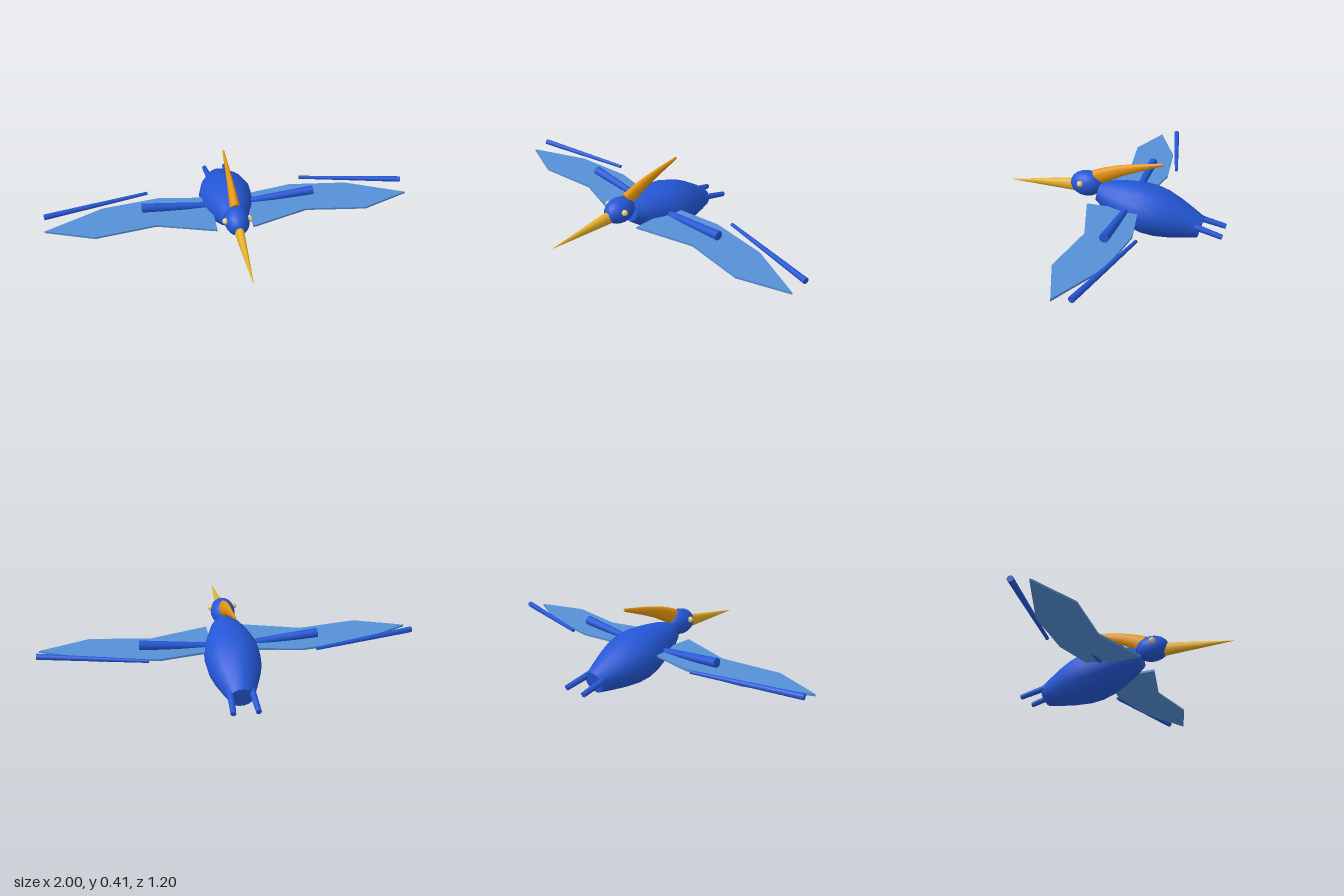
import * as THREE from 'three';
import { toCreasedNormals } from 'three/addons/utils/BufferGeometryUtils.js';

const paint = (name, color) => {
  const m = new THREE.MeshStandardMaterial({ color });
  m.name = name;
  return m;
};

// Closed skin through elliptical sections [z, y, halfWidth, halfHeight], front to back
function loft(sections, sides = 14) {
  const pos = [], index = [], n = sections.length;
  sections.forEach(([z, y, rx, ry], i) => {
    const a = sections[Math.max(i - 1, 0)], b = sections[Math.min(i + 1, n - 1)];
    const len = Math.hypot(b[0] - a[0], b[1] - a[1]);
    const tz = (b[0] - a[0]) / len, ty = (b[1] - a[1]) / len;
    for (let j = 0; j < sides; j++) {
      const t = (j / sides) * Math.PI * 2, s = ry * Math.sin(t);
      pos.push(rx * Math.cos(t), y - tz * s, z + ty * s);
    }
  });
  for (let i = 0; i < n - 1; i++) {
    for (let j = 0; j < sides; j++) {
      const k = (j + 1) % sides, p = i * sides, q = p + sides;
      index.push(p + j, q + j, p + k, p + k, q + j, q + k);
    }
  }
  const front = n * sides, back = front + 1, last = (n - 1) * sides;
  pos.push(0, sections[0][1], sections[0][0], 0, sections[n - 1][1], sections[n - 1][0]);
  for (let j = 0; j < sides; j++) {
    const k = (j + 1) % sides;
    index.push(front, j, k, back, last + k, last + j);
  }
  const geo = new THREE.BufferGeometry();
  geo.setAttribute('position', new THREE.Float32BufferAttribute(pos, 3));
  geo.setIndex(index);
  return toCreasedNormals(geo, 0.95);
}

// Tapered rod between two points
function rod(from, to, r0, r1) {
  const a = new THREE.Vector3(...from), b = new THREE.Vector3(...to);
  const dir = b.clone().sub(a);
  const geo = new THREE.CylinderGeometry(r1, r0, dir.length(), 12);
  geo.applyQuaternion(new THREE.Quaternion().setFromUnitVectors(new THREE.Vector3(0, 1, 0), dir.normalize()));
  const mid = a.add(b).multiplyScalar(0.5);
  return geo.translate(mid.x, mid.y, mid.z);
}

export function createModel() {
  const model = new THREE.Group();
  const blue = paint('body blue', 0x2457d6);
  const membrane = paint('wing blue', 0x5590d6);
  const gold = paint('beak gold', 0xe6b02a);
  const orange = paint('crest orange', 0xe6960f);
  const cream = paint('eye cream', 0xe6d080);
  const add = (name, geo, mat) => {
    const mesh = new THREE.Mesh(geo, mat);
    mesh.name = name;
    model.add(mesh);
    return mesh;
  };

  // Body: barrel tilted nose-up, with a blunt rear
  const profile = [[0, 0.06], [0.06, 0.078], [0.12, 0.095], [0.25, 0.122], [0.38, 0.141], [0.5, 0.148],
    [0.62, 0.141], [0.75, 0.12], [0.88, 0.092], [1, 0.064]];
  add('body', loft(profile.map(([u, r]) => [0.09 - 0.563 * u, 0.212 - 0.134 * u, r, r * 0.9])), blue);

  // Head, beak and crest
  const head = new THREE.SphereGeometry(1, 20, 14).scale(0.066, 0.07, 0.092);
  add('head', head.translate(0, 0.25, 0.16), blue);
  add('beak', loft([[0.6, 0.212, 0.001, 0.001], [0.42, 0.223, 0.013, 0.019], [0.232, 0.234, 0.025, 0.037]]), gold);
  add('crest', loft([[0.11, 0.288, 0.027, 0.045], [0.04, 0.32, 0.023, 0.039], [-0.03, 0.347, 0.018, 0.031],
    [-0.11, 0.371, 0.013, 0.023], [-0.256, 0.409, 0.005, 0.008]]), orange);

  // Wing membrane outline in x and z
  const outline = [[0.097, 0.13], [0.41, 0.035], [0.733, 0.08], [0.993, -0.016],
    [0.685, -0.16], [0.37, -0.2], [0.15, -0.163], [0.097, -0.155]];

  for (const [side, s] of [['left', 1], ['right', -1]]) {
    const shape = new THREE.Shape(outline.map(([x, z]) => new THREE.Vector2(x * s, z)));
    const wing = new THREE.ExtrudeGeometry(shape, { depth: 0.011, bevelEnabled: false });
    add(side + 'Wing', wing.rotateX(Math.PI / 2).translate(0, 0.176, 0), membrane);
    add(side + 'UpperArm', rod([0.06 * s, 0.17, -0.09], [0.475 * s, 0.205, -0.088], 0.016, 0.025), blue);
    add(side + 'Forearm', rod([0.435 * s, 0.19, -0.237], [0.995 * s, 0.195, -0.112], 0.009, 0.016), blue);
    add(side + 'Leg', rod([0.053 * s, 0.112, -0.42], [0.062 * s, 0.07, -0.598], 0.018, 0.014), blue);
    add(side + 'Eye', new THREE.SphereGeometry(0.017, 12, 8).translate(0.063 * s, 0.268, 0.18), cream);
  }
  return model;
}
